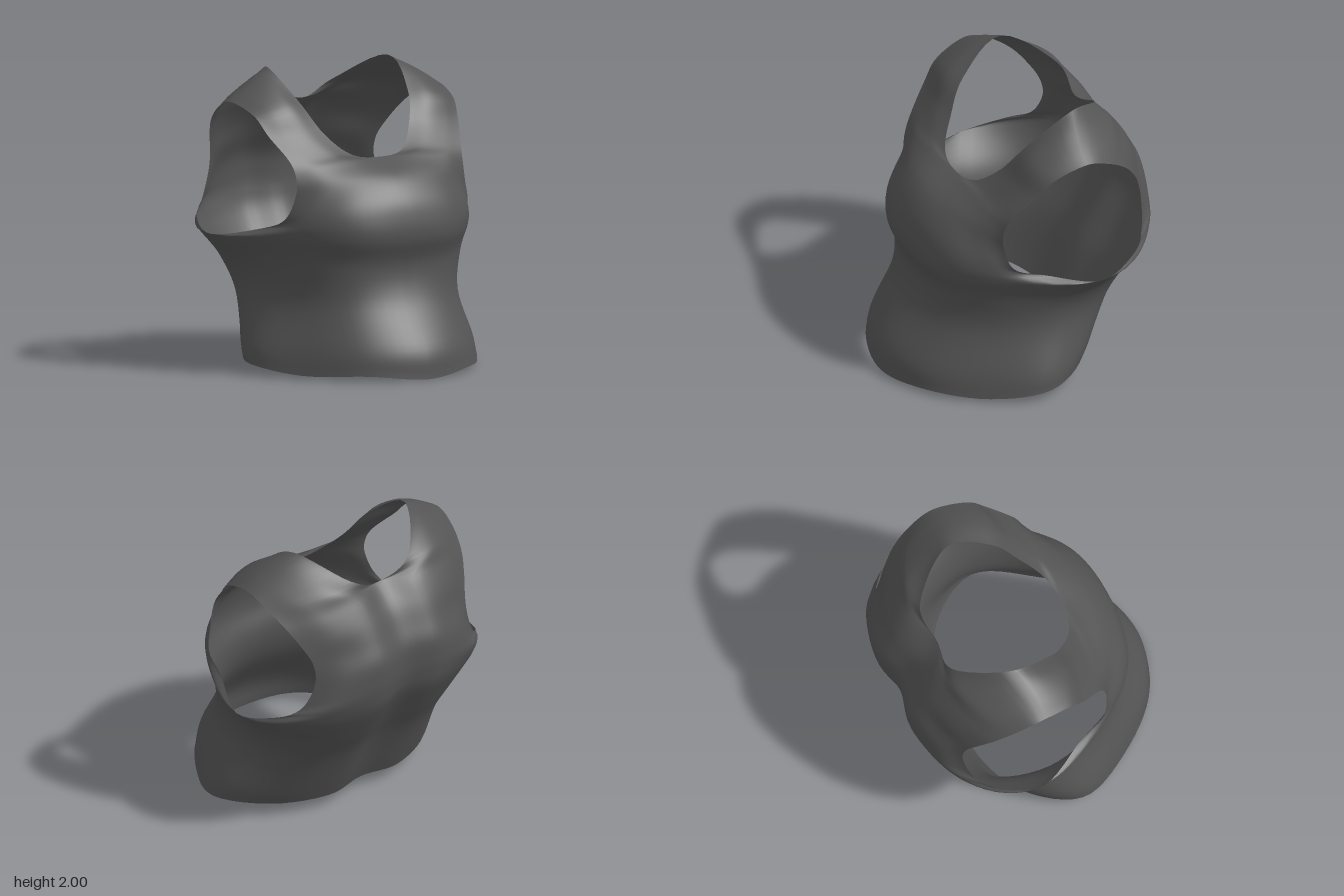
import * as THREE from 'three';
import { mergeVertices } from 'three/addons/utils/BufferGeometryUtils.js';

// Control rows for one half, hem to shoulder. Each row runs from the centre (or neckline)
// out to the side seam (or armhole edge) as x, y, z triples.
const frontBody = [
  [0, .005, .91, .40, .04, .785, .70, .03, .455],
  [0, .2, .88, .39, .2, .755, .675, .2, .43],
  [0, .5, .70, .37, .5, .61, .625, .5, .33],
  [0, .73, .645, .38, .74, .58, .66, .76, .31],
  [0, .92, .70, .40, .92, .63, .71, .93, .33],
];
const backBody = [
  [0, .11, -.40, .3, .1, -.43, .66, .1, -.27],
  [0, .2, -.44, .3, .2, -.475, .66, .2, -.315],
  [0, .5, -.57, .3, .5, -.61, .62, .5, -.46],
  [0, .72, -.69, .3, .72, -.74, .66, .72, -.58],
  [0, .95, -.81, .3, .94, -.86, .75, .93, -.68],
];
const sideSeam = [
  [.87, .08, .08], [.85, .2, .05], [.75, .5, -.05], [.79, .72, -.15], [.96, .92, -.25],
];
const frontChest = [
  [0, 1.07, .69, .4, 1.05, .625, .67, 1.02, .40, .795, .985, .1],
  [0, 1.2, .64, .36, 1.18, .585, .6, 1.12, .45, .735, 1.06, .29],
  [0, 1.33, .53, .28, 1.32, .5, .5, 1.28, .44, .68, 1.22, .34],
  [0, 1.43, .335, .25, 1.42, .375, .5, 1.39, .365, .67, 1.34, .33],
  [.2, 1.455, .295, .37, 1.47, .3, .54, 1.46, .295, .69, 1.45, .275],
  [.34, 1.59, .175, .49, 1.6, .19, .63, 1.6, .175, .76, 1.6, .14],
  [.44, 1.8, .02, .56, 1.8, .05, .68, 1.77, .05, .80, 1.73, .02],
];
const backUpper = [
  [0, 1.08, -.85, .28, 1.08, -.9, .65, 1.04, -.79, .87, .99, -.55],
  [0, 1.2, -.86, .26, 1.2, -.91, .56, 1.14, -.83, .75, 1.07, -.67],
  [0, 1.32, -.85, .25, 1.32, -.9, .5, 1.28, -.83, .67, 1.24, -.71],
  [0, 1.45, -.79, .25, 1.45, -.84, .48, 1.42, -.78, .665, 1.38, -.69],
  [0, 1.58, -.71, .25, 1.58, -.77, .5, 1.55, -.73, .71, 1.5, -.63],
  [0, 1.715, -.58, .27, 1.71, -.68, .54, 1.68, -.64, .77, 1.63, -.53],
  [.25, 1.82, -.59, .45, 1.82, -.58, .64, 1.79, -.5, .815, 1.74, -.38],
];
const shoulder = [.485, 2, -.29, .6, 1.94, -.25, .72, 1.87, -.22, .83, 1.8, -.21];

const UNDERARM = 4, STEPS = 6, COLS = 18;

function spline(a, b, c, d, t) {
  return .5 * (2 * b + (c - a) * t + (2 * a - 5 * b + 4 * c - d) * t * t + (3 * b - a - 3 * c + d) * t * t * t);
}

function panelRows(body, upper) {
  return [...body.map((r, i) => [...r, ...sideSeam[i]]), ...upper, shoulder];
}

// Blend the control rows at height t. The edges turn a corner where the neckline leaves the
// centre line and where the armhole leaves the seam; past the shoulder the other panel follows.
function rowAt(rows, other, t) {
  const n = rows.length - 1;
  const i = Math.min(Math.floor(t), n - 1);
  const neck = rows.findIndex((r) => r[0] > 0) - 1;
  const at = (k) => {
    const b = rows[i][k], c = rows[i + 1][k];
    const corner = k < 3 ? neck : k > 8 ? UNDERARM : -1;
    let a = i > 0 ? rows[i - 1][k] : 2 * b - c;
    let d = i + 2 <= n ? rows[i + 2][k] : other[n - 1][k];
    if (i === corner) a = k > 8 ? other[i + 1][k] : k === 0 ? -c : c;
    if (i + 1 === corner) d = 2 * c - b;
    return spline(a, b, c, d, t - i);
  };
  return [0, 3, 6, 9].map((k) => new THREE.Vector3(at(k), at(k + 1), at(k + 2)));
}

function extend(p, q) {
  return p.clone().multiplyScalar(2).sub(q);
}

// Smooth points across a row, continuous over the centre line and over the side seam
function sampleRow(rows, other, t) {
  const p = rowAt(rows, other, t);
  const o = rowAt(other, rows, t);
  const mirrored = p[1].clone();
  mirrored.x *= -1;
  const first = mirrored.lerp(extend(p[0], p[1]), Math.min(1, p[0].x / .2));
  const last = extend(p[3], p[2]).lerp(o[2], THREE.MathUtils.clamp(UNDERARM + 1 - t, 0, 1));
  const c = [first, ...p, last];
  const result = [];
  for (let j = 0; j <= COLS; j++) {
    const s = j / COLS * 3;
    const i = Math.min(Math.floor(s), 2);
    const at = (axis) => spline(c[i][axis], c[i + 1][axis], c[i + 2][axis], c[i + 3][axis], s - i);
    result.push([at('x'), at('y'), at('z')]);
  }
  return result;
}

function addPanel(positions, indices, rows, other, side, facing) {
  const start = positions.length / 3;
  const count = (rows.length - 1) * STEPS;
  const stride = COLS + 1;
  for (let r = 0; r <= count; r++) {
    for (const [x, y, z] of sampleRow(rows, other, r / STEPS)) positions.push(x * side, y, z);
  }
  for (let r = 0; r < count; r++) {
    for (let j = 0; j < COLS; j++) {
      const a = start + r * stride + j, b = a + 1, c = b + stride, d = a + stride;
      if (side * facing > 0) indices.push(a, b, c, a, c, d);
      else indices.push(a, c, b, a, d, c);
    }
  }
}

export function createModel() {
  const group = new THREE.Group();
  group.name = 'tankTop';
  const fabric = new THREE.MeshStandardMaterial({ color: 0x545454, side: THREE.DoubleSide });
  fabric.name = 'charcoal fabric';

  // Front and back panels, mirrored and sewn into one smooth shell
  const front = panelRows(frontBody, frontChest);
  const back = panelRows(backBody, backUpper);
  const positions = [], indices = [];
  for (const side of [1, -1]) {
    addPanel(positions, indices, front, back, side, 1);
    addPanel(positions, indices, back, front, side, -1);
  }
  let geometry = new THREE.BufferGeometry();
  geometry.setAttribute('position', new THREE.Float32BufferAttribute(positions, 3));
  geometry.setIndex(indices);
  geometry = mergeVertices(geometry, 1e-4);
  geometry.computeVertexNormals();

  const shirt = new THREE.Mesh(geometry, fabric);
  shirt.name = 'shirtShell';
  group.add(shirt);
  return group;
}
